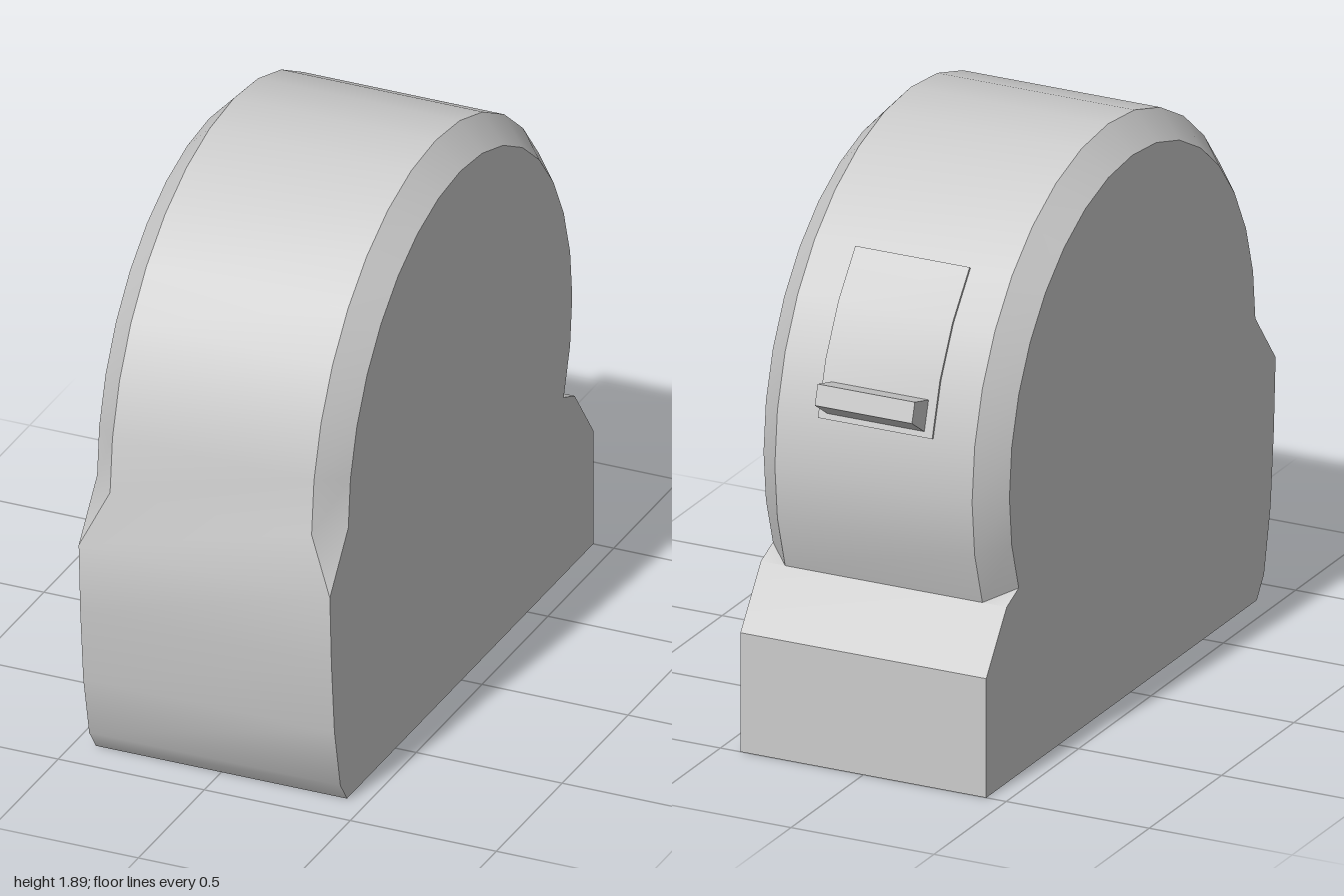
import * as THREE from 'three';
import { toCreasedNormals } from 'three/addons/utils/BufferGeometryUtils.js';

const grey = new THREE.MeshStandardMaterial({ color: 0xcccccc });
const CENTRE = { z: 0.01, y: 0.95 };
const HALF = 0.43, RIM = 0.345; // half width of the sides, and of the band between the bevels
const STEP = Math.PI / 16;

// Point [z, y] on a circle round the case centre
const onArc = (r, k) => [CENTRE.z + r * Math.cos(k * STEP), CENTRE.y + r * Math.sin(k * STEP)];

// Case: a round top with bevelled rims that runs into a full-width base
function caseGeometry() {
  const rows = []; // band edge [x, y, z] and side edge [x, y, z]
  const plain = (z, y) => rows.push({ band: [HALF, y, z], side: [HALF, y, z] });
  [[0.87, 0], [0.92, 0.07], [0.965, 0.28], [0.988, 0.53], [1, 0.77]].forEach(p => plain(...p));
  for (let k = 0; k <= 18; k++) {
    const [bz, by] = onArc(0.94, k), [sz, sy] = onArc(0.85, k);
    rows.push({ band: [RIM, by, bz], side: [HALF, sy, sz] });
  }
  plain(...onArc(0.94, 18));
  plain(-1, 0.4);
  plain(-1, 0);

  const pos = [];
  const mirror = ([x, y, z]) => [-x, y, z];
  const tri = (a, b, c) => {
    const [p, q, r] = [a, b, c].map(v => new THREE.Vector3(...v));
    if (q.sub(p).cross(r.sub(p)).length() > 1e-7) pos.push(...a, ...b, ...c);
  };
  const quad = (a, b, c, d) => { tri(a, b, c); tri(a, c, d); };

  // Band and the two bevels
  rows.forEach((a, i) => {
    const b = rows[(i + 1) % rows.length];
    quad(mirror(a.band), a.band, b.band, mirror(b.band));
    quad(a.band, a.side, b.side, b.band);
    quad(mirror(a.side), mirror(a.band), mirror(b.band), mirror(b.side));
  });
  // Flat sides
  const outline = rows.map(({ side }) => new THREE.Vector2(side[2], side[1]));
  for (const [i, j, k] of THREE.ShapeUtils.triangulateShape(outline, [])) {
    const [a, b, c] = [rows[i].side, rows[j].side, rows[k].side];
    tri(a, c, b);
    tri(mirror(a), mirror(b), mirror(c));
  }
  const geo = new THREE.BufferGeometry();
  geo.setAttribute('position', new THREE.Float32BufferAttribute(pos, 3));
  return toCreasedNormals(geo, 0.55);
}

// Side profile of [z, y] points, extruded across x
function across(points, width) {
  const shape = new THREE.Shape(points.map(p => new THREE.Vector2(...p)));
  const geo = new THREE.ExtrudeGeometry(shape, { depth: width, bevelEnabled: false });
  geo.translate(0, 0, -width / 2).rotateY(-Math.PI / 2);
  return toCreasedNormals(geo, 0.55);
}

export function createModel() {
  const group = new THREE.Group();
  const add = (name, geo) => {
    const mesh = new THREE.Mesh(geo, grey);
    mesh.name = name;
    group.add(mesh);
  };

  add('case', caseGeometry());

  // Thin curved lock plate on the back
  const ks = [12, 13, 14, 15];
  const plate = [...ks.map(k => onArc(0.948, k)), ...ks.reverse().map(k => onArc(0.9, k))];
  add('lockPlate', across(plate, 0.4));

  // Thumb tab of the lock
  add('lockTab', across([[-0.87, 1.245], [-0.98, 1.275], [-1, 1.21], [-0.91, 1.15], [-0.87, 1.15]], 0.34));

  return group;
}
